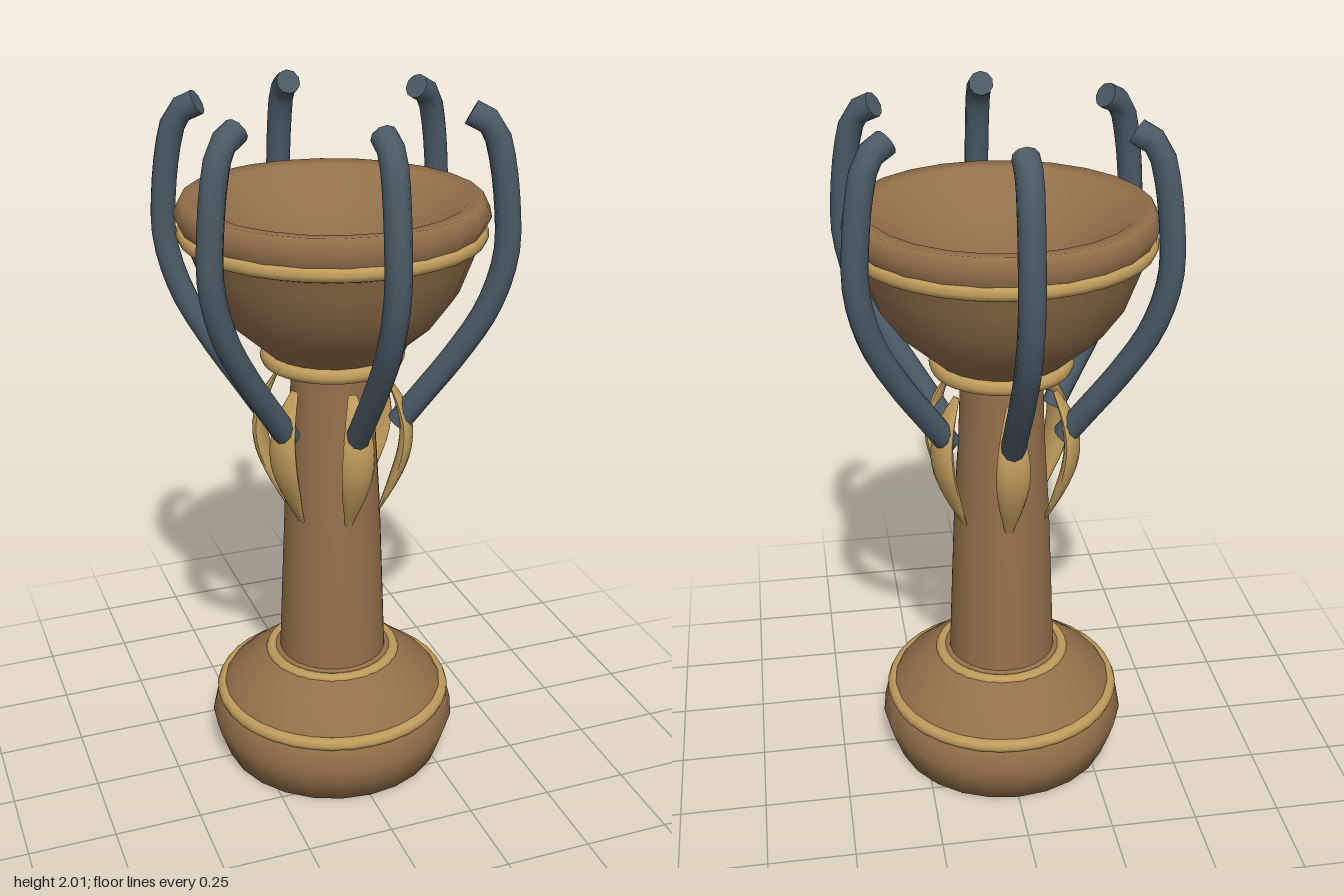
import * as THREE from 'three';
import { toCreasedNormals } from 'three/addons/utils/BufferGeometryUtils.js';

const wood = new THREE.MeshStandardMaterial({ color: 0x93704a });
const gold = new THREE.MeshStandardMaterial({ color: 0xc09c5c });
const steel = new THREE.MeshStandardMaterial({ color: 0x4b5a66 });

function add(parent, name, geometry, material) {
  const mesh = new THREE.Mesh(geometry, material);
  mesh.name = name;
  parent.add(mesh);
  return mesh;
}

function lathe(points) {
  return new THREE.LatheGeometry(points.map(([r, y]) => new THREE.Vector2(r, y)), 24);
}

// Sweep an elliptical section along a path in the x-y plane, closed at both ends.
// thick(t) lies in the plane, wide(t) across it.
function sweep(path, steps, sides, thick, wide) {
  const curve = new THREE.CatmullRomCurve3(path.map(([x, y]) => new THREE.Vector3(x, y, 0)));
  const pos = [], index = [];
  for (let i = -1; i <= steps + 1; i++) {
    const t = THREE.MathUtils.clamp(i / steps, 0, 1);
    const scale = i < 0 || i > steps ? 0 : 1;
    const p = curve.getPointAt(t), d = curve.getTangentAt(t);
    for (let j = 0; j < sides; j++) {
      const a = (j / sides) * Math.PI * 2;
      const n = Math.cos(a) * thick(t) * scale;
      pos.push(p.x + d.y * n, p.y - d.x * n, Math.sin(a) * wide(t) * scale);
    }
  }
  for (let i = 0; i < steps + 2; i++) {
    for (let j = 0; j < sides; j++) {
      const a = i * sides + j, b = i * sides + (j + 1) % sides;
      if (i <= steps) index.push(a, a + sides, b + sides);
      if (i > 0) index.push(a, b + sides, b);
    }
  }
  const g = new THREE.BufferGeometry();
  g.setAttribute('position', new THREE.Float32BufferAttribute(pos, 3));
  g.setIndex(index);
  return toCreasedNormals(g, 1.1);
}

export function createModel() {
  const model = new THREE.Group();
  model.name = 'goblet';

  // Turned wooden body
  add(model, 'base', lathe([
    [0, 0], [0.33, 0], [0.355, 0.07], [0.37, 0.12], [0.355, 0.18], [0.32, 0.235],
    [0.26, 0.285], [0.2, 0.33], [0.15, 0.345]]), wood);
  add(model, 'stem', lathe([[0.16, 0.33], [0.15, 0.58], [0.14, 0.82], [0.125, 1.05], [0.115, 1.3]]), wood);
  add(model, 'bowl', lathe([
    [0, 1.28], [0.16, 1.285], [0.2, 1.32], [0.29, 1.4], [0.35, 1.485], [0.385, 1.58],
    [0.41, 1.66], [0.43, 1.7], [0.41, 1.74], [0.365, 1.735], [0.3, 1.69], [0.2, 1.635],
    [0.1, 1.605], [0, 1.595]]), wood);

  // Gold bands: height, radius, tube radius
  for (const [y, r, tube] of [[0.2, 0.335, 0.02], [0.325, 0.185, 0.018], [1.287, 0.18, 0.024], [1.645, 0.402, 0.022]]) {
    const band = add(model, 'band', new THREE.TorusGeometry(r, tube, 8, 36), gold);
    band.rotation.x = Math.PI / 2;
    band.position.y = y;
  }

  // Curved prongs, each held by a gold leaf
  const prong = sweep([[0.19, 1.09], [0.255, 1.18], [0.345, 1.305], [0.43, 1.45], [0.472, 1.6],
    [0.468, 1.74], [0.445, 1.88], [0.42, 1.945], [0.365, 1.975]], 20, 10, () => 0.035, () => 0.035);
  const leaf = sweep([[0.138, 0.81], [0.18, 0.91], [0.208, 1.0], [0.213, 1.08], [0.195, 1.15], [0.16, 1.22]],
    16, 12,
    t => 0.004 + 0.016 * Math.sin(Math.PI * t),
    t => 0.012 + 0.036 * Math.sin(Math.PI * Math.pow(t, 1.1)));
  for (let i = 0; i < 6; i++) {
    const arm = new THREE.Group();
    arm.name = 'arm';
    arm.rotation.y = Math.PI / 6 + i * Math.PI / 3;
    add(arm, 'prong', prong, steel);
    add(arm, 'leaf', leaf, gold);
    model.add(arm);
  }
  return model;
}
